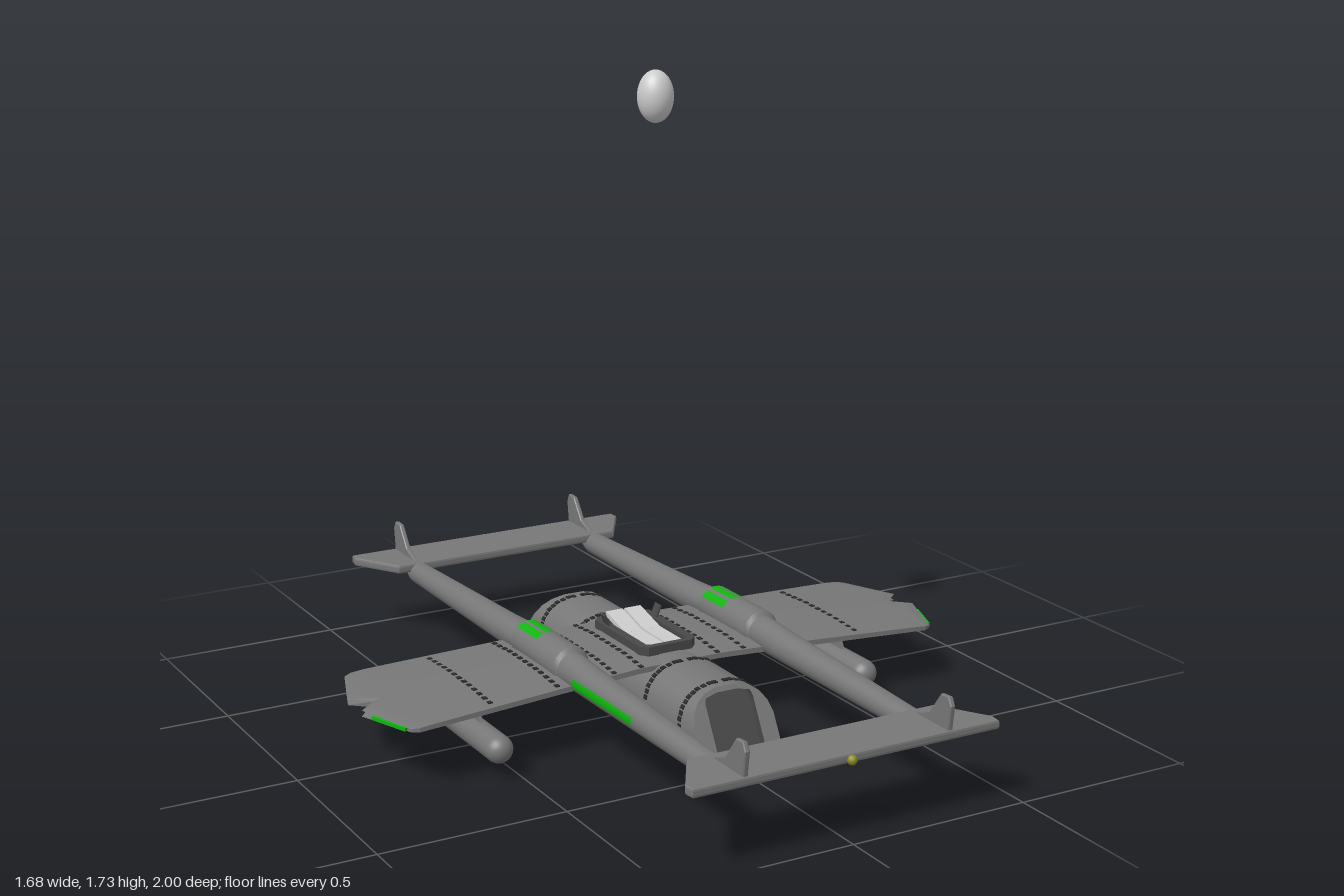
import * as THREE from 'three';
import { toCreasedNormals } from 'three/addons/utils/BufferGeometryUtils.js';

const mat = (color) => new THREE.MeshStandardMaterial({ color });
const body = mat(0x777777), dark = mat(0x484848), black = mat(0x2a2a2a);
const light = mat(0xcccccc), green = mat(0x0fb50f), yellow = mat(0x8a8a20);

// Skin a list of equal-length rings of [x, y, z], with optional end caps.
function loft(rings, capStart = true, capEnd = true, crease = 0.6) {
  const p = [], n = rings[0].length;
  const tri = (a, b, c) => p.push(...a, ...b, ...c);
  for (let i = 0; i < rings.length - 1; i++) {
    for (let j = 0; j < n; j++) {
      const k = (j + 1) % n, A = rings[i], B = rings[i + 1];
      tri(A[j], A[k], B[k]);
      tri(A[j], B[k], B[j]);
    }
  }
  const first = rings[0], last = rings[rings.length - 1];
  for (let j = 1; j < n - 1; j++) {
    if (capStart) tri(first[0], first[j + 1], first[j]);
    if (capEnd) tri(last[0], last[j], last[j + 1]);
  }
  const g = new THREE.BufferGeometry();
  g.setAttribute('position', new THREE.Float32BufferAttribute(p, 3));
  return toCreasedNormals(g, crease);
}

export function createModel() {
  const model = new THREE.Group();
  const add = (name, geometry, material, x = 0, y = 0, z = 0) => {
    const m = new THREE.Mesh(geometry, material);
    m.name = name;
    m.position.set(x, y, z);
    model.add(m);
    return m;
  };
  const box = (w, h, d) => new THREE.BoxGeometry(w, h, d);

  // Hull: rounded section with raked ends, each holding a recessed dark door
  const half = [[0.05, 0.004], [0.085, 0.012], [0.108, 0.035], [0.117, 0.07], [0.117, 0.13],
    [0.108, 0.16], [0.09, 0.184], [0.065, 0.2], [0.03, 0.209]];
  const outer = [...half, ...half.map(([x, y]) => [-x, y]).reverse()];
  const inner = outer.map(([x, y]) => [THREE.MathUtils.clamp(x, -0.07, 0.07), 0.015 + y * 0.87]);
  const ring = (sec, s, sink = 0) => sec.map(([x, y]) => [x, y, s * (0.53 - 0.55 * y - sink)]);
  add('hull', loft([ring(inner, -1), ring(outer, -1), ring(outer, 1), ring(inner, 1)], false, false), body);
  add('frontDoor', loft([ring(inner, 1), ring(inner, 1, 0.025)], false, true), dark);
  add('backDoor', loft([ring(inner, -1, 0.025), ring(inner, -1)], true, false), dark);

  // Main wing: centre line, ridge and outer edge, with notched tips
  // [xCentre, xRidge, zRidge, xEdge, zEdge, yMid, halfThickness]
  const stations = [
    [0.12, 0.12, 0.09, 0.12, 0.19, 0.195, 0.016],
    [0.35, 0.35, 0.08, 0.35, 0.2, 0.187, 0.016],
    [0.7, 0.73, 0.055, 0.72, 0.22, 0.171, 0.014],
    [0.77, 0.81, 0.05, 0.76, 0.22, 0.168, 0.013],
    [0.79, 0.84, 0.045, 0.78, 0.21, 0.167, 0.008],
  ];
  const wingRing = ([xc, xr, zr, xe, ze, y, t], s) => {
    const e = t * 0.45;
    return [[xc, t, 0], [xr, t, zr], [xe, e, ze], [xe, -e, ze], [xr, -t, zr], [xc, -t, 0],
      [xr, -t, -zr], [xe, -e, -ze], [xe, e, -ze], [xr, t, -zr]].map(([x, dy, z]) => [s * x, y + dy, z]);
  };
  add('wing', loft([...stations.map((s) => wingRing(s, -1)).reverse(),
    ...stations.map((s) => wingRing(s, 1))], true, true, 0.15), body);

  // Booms: round tubes with a thicker centre sleeve
  const boomHalf = [[0.93, 0.213, 0.006], [0.88, 0.204, 0.022], [0.83, 0.197, 0.031],
    [0.25, 0.208, 0.042], [0.13, 0.212, 0.045], [0.12, 0.217, 0.052]];
  const boomProfile = [...boomHalf.map(([z, y, r]) => [-z, y, r]), ...[...boomHalf].reverse()];
  const circle = ([z, y, r]) => Array.from({ length: 20 }, (_, i) => {
    const a = i / 20 * Math.PI * 2;
    return [r * Math.cos(a), y + r * Math.sin(a), z];
  });
  const boomGeo = loft(boomProfile.map(circle));
  // Painted arc on a boom, measured from the bottom round towards +x
  const arc = (rFront, rBack, len, start, sweep) =>
    new THREE.CylinderGeometry(rFront, rBack, len, 10, 1, true, start, sweep).rotateX(Math.PI / 2);

  // Fin outline in z (forward) and y
  const finShape = new THREE.Shape([[0.83, 0.222], [0.9, 0.248], [0.945, 0.308], [0.975, 0.31],
    [0.985, 0.29], [0.975, 0.215]].map(([z, y]) => new THREE.Vector2(z, y)));
  const finGeo = new THREE.ExtrudeGeometry(finShape, {
    depth: 0.008, bevelEnabled: true, bevelThickness: 0.003, bevelSize: 0.002, bevelSegments: 1,
  }).translate(0, 0, -0.004).rotateY(-Math.PI / 2);

  // Pylon outline in z and y
  const pylonShape = new THREE.Shape([[-0.14, 0.1], [0.14, 0.1], [0.1, 0.17], [-0.1, 0.17]]
    .map(([z, y]) => new THREE.Vector2(z, y)));
  const pylonGeo = new THREE.ExtrudeGeometry(pylonShape, { depth: 0.008, bevelEnabled: false })
    .translate(0, 0, -0.004).rotateY(-Math.PI / 2);

  for (const s of [1, -1]) {
    const x = s * 0.288;
    add('boom', boomGeo, body, x);
    for (const f of [1, -1]) {
      const fin = add('fin', finGeo, body, x);
      if (f < 0) fin.rotation.y = Math.PI;
    }
    // Green paint on sleeve, boom flank and wing tip
    for (const a of [-0.75, -0.1, 0.5]) {
      add('sleevePaint', arc(0.053, 0.053, 0.11, Math.PI - s * a - 0.22, 0.44), green, x, 0.217, -0.06);
    }
    add('boomPaint', arc(0.0395, 0.0435, 0.3, (s > 0 ? 0.5 : 1.5) * Math.PI - 0.3, 0.6), green, x, 0.206, 0.36);
    const tip = add('tipPaint', box(0.008, 0.009, 0.12), green, s * 0.807, 0.167, 0.14);
    tip.rotation.y = -s * 0.35;

    // Underwing pods on pylons
    add('pod', new THREE.CapsuleGeometry(0.037, 0.455, 8, 20).rotateX(Math.PI / 2), body, s * 0.55, 0.08, 0);
    add('pylon', pylonGeo, body, s * 0.55);
  }

  // Tailplanes front and back
  const tailShape = new THREE.Shape([[-0.35, 0.825], [0.35, 0.825], [0.43, 0.955], [0.427, 0.98],
    [-0.427, 0.98], [-0.43, 0.955]].map(([a, b]) => new THREE.Vector2(a, b)));
  const tailGeo = new THREE.ExtrudeGeometry(tailShape, {
    depth: 0.01, bevelEnabled: true, bevelThickness: 0.007, bevelSize: 0.004, bevelSegments: 2,
  }).rotateX(Math.PI / 2);
  for (const f of [1, -1]) {
    const tail = add('tailplane', tailGeo, body, 0, 0.221, 0);
    if (f < 0) tail.rotation.y = Math.PI;
    add('tailLamp', new THREE.SphereGeometry(0.013, 12, 8), yellow, 0, 0.213, f * 0.987);
  }

  // Hatch: eight-sided frame around pale seat panels
  const octagon = (Type, w, d, c) => new Type([[w - c, -d], [w, c - d], [w, d - c], [w - c, d],
    [c - w, d], [-w, d - c], [-w, c - d], [c - w, -d]].map(([a, b]) => new THREE.Vector2(a, b)));
  const frame = octagon(THREE.Shape, 0.085, 0.14, 0.02);
  frame.holes.push(octagon(THREE.Path, 0.06, 0.122, 0.008));
  add('hatchFrame', new THREE.ExtrudeGeometry(frame, { depth: 0.04, bevelEnabled: false })
    .rotateX(Math.PI / 2), dark, 0, 0.232, -0.005);
  for (const s of [1, -1]) {
    add('seatBase', box(0.05, 0.02, 0.13), light, s * 0.028, 0.215, 0.045);
    const back = add('seatBack', box(0.05, 0.014, 0.11), light, s * 0.028, 0.232, -0.07);
    back.rotation.x = 0.25;
    const flap = add('hatchFlap', box(0.005, 0.045, 0.03), dark, s * 0.077, 0.242, -0.08);
    flap.rotation.z = -s * 0.4;
  }

  // Rivet bands around the hull
  const rivet = box(0.012, 0.006, 0.014);
  for (const z of [-0.385, -0.21, 0.21, 0.385]) {
    for (let i = 0; i < half.length; i++) {
      if (i < 3) continue;
      const [x0, y0] = half[i], [x1, y1] = half[i + 1] || [0, 0.21];
      const count = Math.max(1, Math.round(Math.hypot(x1 - x0, y1 - y0) / 0.019));
      for (let k = 0; k < count; k++) {
        const t = k / count;
        for (const s of [1, -1]) {
          const r = add('hullRivet', rivet, black, s * (x0 + (x1 - x0) * t), y0 + (y1 - y0) * t, z);
          r.rotation.z = s * Math.atan2(y1 - y0, x1 - x0) + Math.PI;
        }
      }
    }
  }

  // Rivet rows across the wing, following its surface
  for (const [x, y, t, zr, ze] of [[0.115, 0.195, 0.016, 0.09, 0.19], [0.195, 0.192, 0.016, 0.087, 0.193],
    [0.36, 0.187, 0.016, 0.08, 0.2], [0.55, 0.178, 0.015, 0.067, 0.21]]) {
    for (let z = -0.18; z < 0.185; z += 0.03) {
      const drop = Math.max(0, (Math.abs(z) - zr) / (ze - zr)) * t * 0.55;
      for (const s of [1, -1]) add('wingRivet', box(0.012, 0.005, 0.014), black, s * x, y + t - drop, z);
    }
  }

  // Egg floating high above the hatch
  add('egg', new THREE.SphereGeometry(0.047, 28, 20).scale(1, 1.43, 1), light, 0, 1.662, 0.052);
  return model;
}
